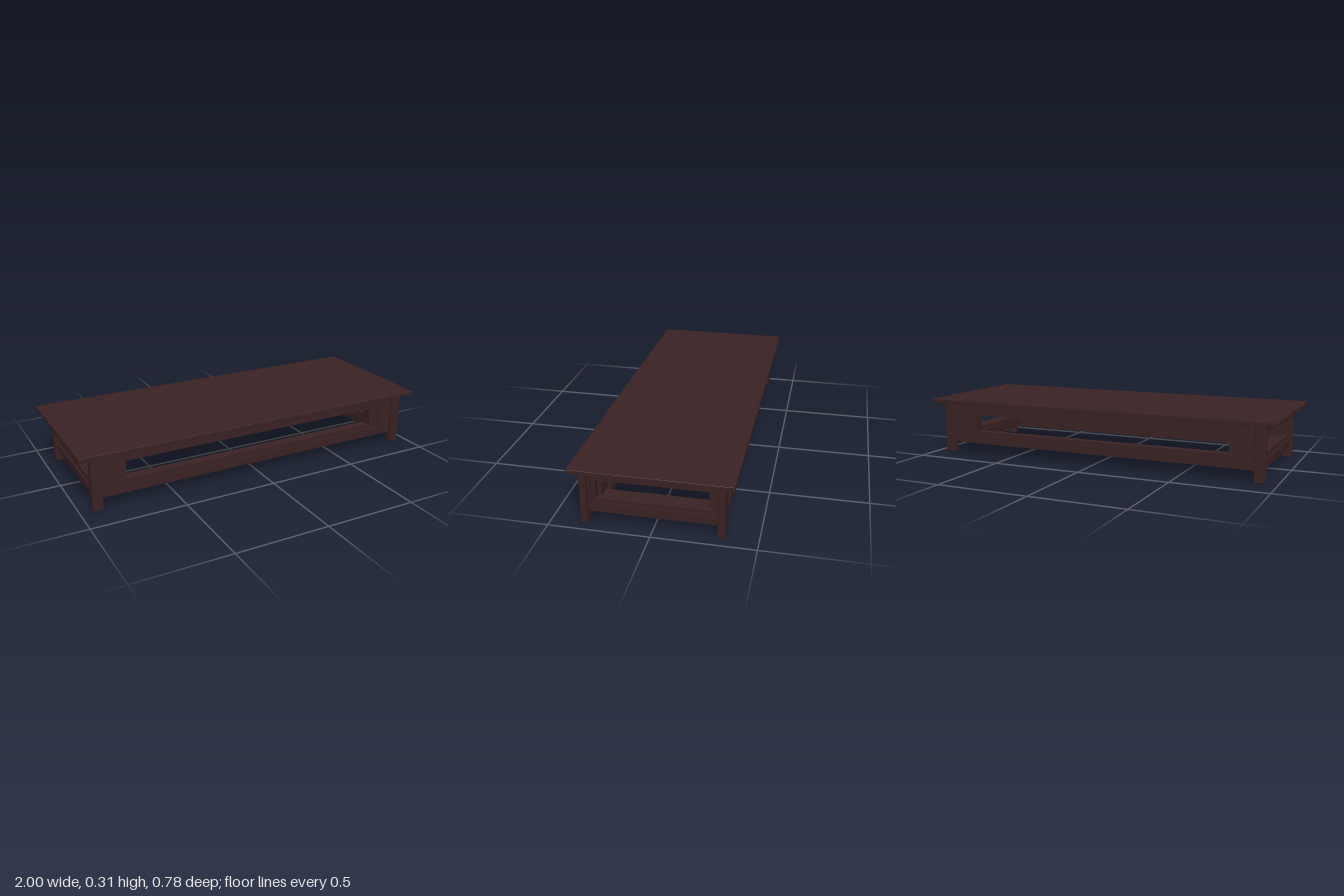
import * as THREE from 'three';
import { RoundedBoxGeometry } from 'three/addons/geometries/RoundedBoxGeometry.js';

const darkWood = new THREE.MeshStandardMaterial({ color: 0x3a2223 });
darkWood.name = 'darkWood';

function add(parent, name, geometry, x = 0, y = 0, z = 0) {
  const mesh = new THREE.Mesh(geometry, darkWood);
  mesh.name = name;
  mesh.position.set(x, y, z);
  parent.add(mesh);
  return mesh;
}

// Rectangular ring in the xy plane, extruded from z0 to z1
function ring(outer, inner, z0, z1) {
  const corners = ([x, y0, y1]) => [[-x, y0], [x, y0], [x, y1], [-x, y1]].map(p => new THREE.Vector2(...p));
  const shape = new THREE.Shape(corners(outer));
  shape.holes.push(new THREE.Path(corners(inner).reverse()));
  return new THREE.ExtrudeGeometry(shape, { depth: z1 - z0, bevelEnabled: false }).translate(0, 0, z0);
}

// Open apron: thick frame, stepped moulding on both faces, recessed inner border.
// Each opening is [half width, bottom, top]; z = 0 is the inner face.
function apron(name, halfWidth, panelHalf, holeHalf, thickness, step) {
  const g = new THREE.Group();
  g.name = name;
  const panel = [panelHalf, 0.103, 0.25];
  const bead = [panelHalf - step, 0.109, 0.244];
  const hole = [holeHalf, 0.127, 0.225];
  add(g, 'apronFrame', ring([halfWidth, 0.06, 0.292], panel, 0, thickness));
  add(g, 'moulding', ring(panel, bead, 0.006, thickness - 0.006));
  add(g, 'innerBorder', ring(bead, hole, 0.012, thickness - 0.012));
  return g;
}

export function createModel() {
  const table = new THREE.Group();
  table.name = 'lowTable';

  // Table top
  add(table, 'tableTop', new RoundedBoxGeometry(2, 0.022, 0.782, 1, 0.002), 0, 0.302, 0);

  // Legs with softened edges
  for (const x of [-0.908, 0.918])
    for (const z of [-0.325, 0.335])
      add(table, 'leg', new RoundedBoxGeometry(0.056, 0.292, 0.035, 1, 0.004), x, 0.146, z);

  // Long aprons, front and back
  const front = apron('frontApron', 0.89, 0.81, 0.747, 0.082, 0.009);
  front.position.z = 0.258;
  const back = apron('backApron', 0.89, 0.81, 0.747, 0.076, 0.009);
  back.rotation.y = Math.PI;
  back.position.z = -0.258;

  // Short aprons, left and right
  const left = apron('leftApron', 0.315, 0.305, 0.28, 0.115, 0.006);
  left.rotation.y = Math.PI / 2;
  left.position.x = 0.815;
  const right = apron('rightApron', 0.315, 0.305, 0.28, 0.108, 0.006);
  right.rotation.y = -Math.PI / 2;
  right.position.x = -0.815;

  table.add(front, back, left, right);
  return table;
}
